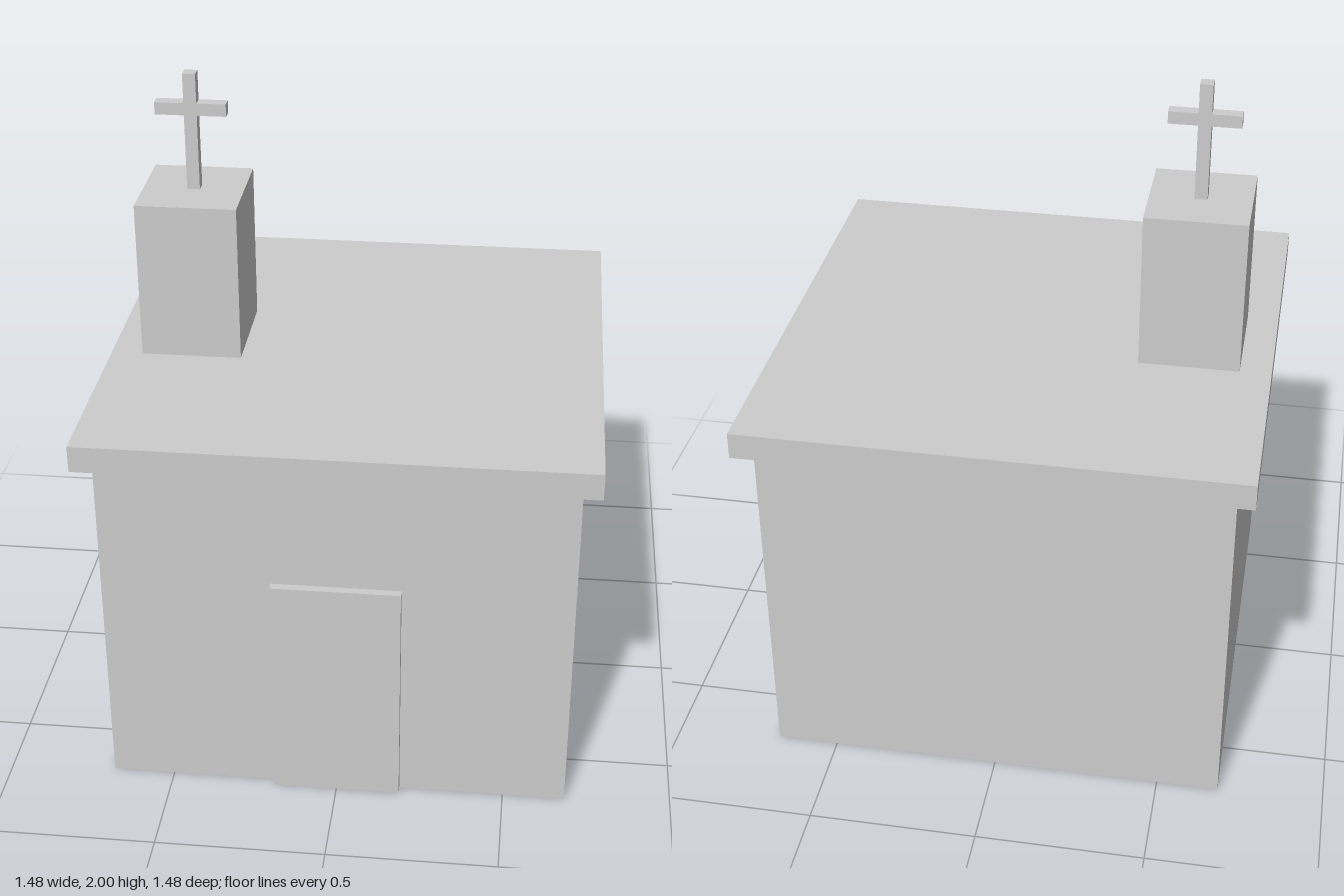
import * as THREE from 'three';

export function createModel() {
  const model = new THREE.Group();
  model.name = 'chapel';

  const plaster = new THREE.MeshStandardMaterial({ color: 0xcccccc });
  plaster.name = 'pale grey';

  // Box given by its size, its base height and its centre in plan
  function block(name, [w, h, d], x, base, z, parent = model) {
    const mesh = new THREE.Mesh(new THREE.BoxGeometry(w, h, d), plaster);
    mesh.name = name;
    mesh.position.set(x, base + h / 2, z);
    parent.add(mesh);
    return mesh;
  }

  // Main building with overhanging flat roof
  block('walls', [1.37, 1.085, 1.37], 0, 0, 0);
  block('roof', [1.476, 0.08, 1.476], 0, 1.085, 0);

  // Door slab standing proud of the front wall
  block('door', [0.378, 0.715, 0.05], 0, 0, 0.685);

  // Bell tower on the right side of the roof
  block('tower', [0.3, 0.48, 0.326], -0.494, 1.165, -0.002);

  // Cross on top of the tower
  const cross = new THREE.Group();
  cross.name = 'cross';
  cross.position.set(-0.494, 1.645, -0.002);
  block('crossPost', [0.038, 0.355, 0.038], 0, 0, 0, cross);
  for (const side of [-1, 1]) {
    block(side < 0 ? 'crossArmRight' : 'crossArmLeft', [0.086, 0.037, 0.038], side * 0.062, 0.229, 0, cross);
  }
  model.add(cross);

  return model;
}
